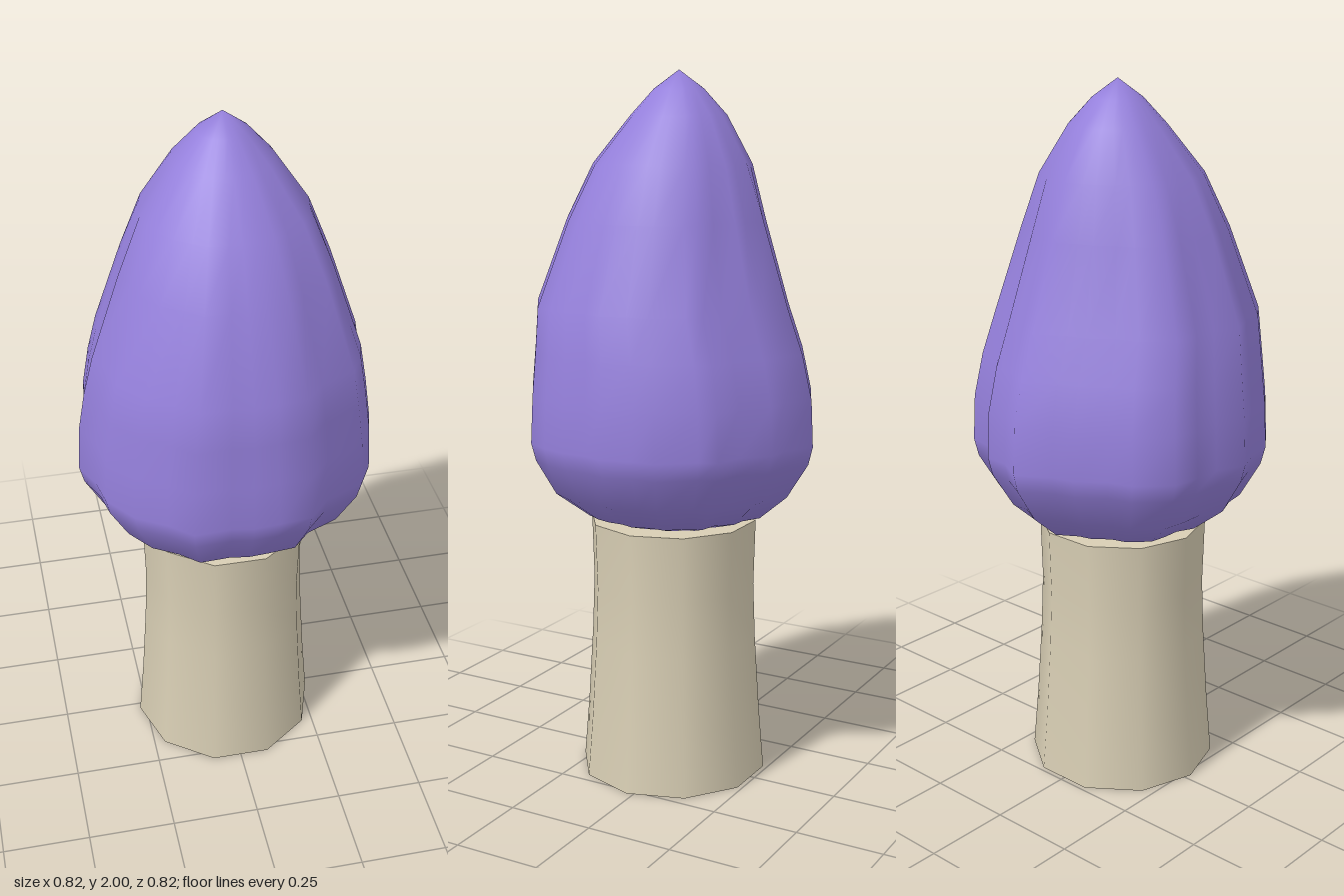
import * as THREE from 'three';

const purple = new THREE.MeshStandardMaterial({ color: 0x9580dc });
purple.name = 'crownPurple';
const beige = new THREE.MeshStandardMaterial({ color: 0xd8ceb4 });
beige.name = 'stemBeige';

// Widest outline of the crown as [x, z], from the back round by the left side
const outline = [
  [0, -.415], [.08, -.37], [.15, -.365], [.21, -.30], [.295, -.28], [.31, -.23], [.385, -.14], [.385, -.07],
  [.41, .01], [.39, .07], [.39, .14], [.37, .21], [.33, .28], [.22, .33], [.16, .395], [.07, .405],
  [0, .41], [-.06, .40], [-.16, .405], [-.22, .35], [-.30, .30], [-.365, .21], [-.38, .13], [-.415, .05],
  [-.38, -.03], [-.38, -.11], [-.37, -.19], [-.29, -.27], [-.22, -.29], [-.15, -.345], [-.09, -.36],
];

// Rings of the crown: [height, scale of outline, shift in z]
const rings = [
  [.755, .42, 0], [.78, .62, 0], [.85, .83, .005], [.95, .97, 0], [1.0, 1, 0], [1.13, .985, 0],
  [1.25, .94, .01], [1.37, .88, .03], [1.6, .69, .025], [1.75, .55, .015], [1.88, .33, 0], [1.95, .17, 0],
];

// Furrowed, tapering crown: the outline swept through the rings, rounder near the tip
function crownGeometry() {
  const n = outline.length;
  const positions = [];
  const indices = [];
  for (const [y, scale, shift] of rings) {
    const round = THREE.MathUtils.smoothstep(y, 1.5, 1.95);
    for (const [x, z] of outline) {
      const r = Math.hypot(x, z);
      const k = scale * THREE.MathUtils.lerp(1, 0.4 / r, round);
      positions.push(x * k, y, z * k + shift);
    }
  }
  for (let j = 0; j < rings.length - 1; j++) {
    for (let i = 0; i < n; i++) {
      const a = j * n + i;
      const b = j * n + (i + 1) % n;
      indices.push(a, a + n, b, b, a + n, b + n);
    }
  }
  // Close the underside and the tip
  const bottom = positions.length / 3;
  positions.push(0, 0.745, 0, 0, 2, 0);
  const last = (rings.length - 1) * n;
  for (let i = 0; i < n; i++) {
    const next = (i + 1) % n;
    indices.push(bottom, i, next);
    indices.push(last + i, bottom + 1, last + next);
  }
  const geometry = new THREE.BufferGeometry();
  geometry.setAttribute('position', new THREE.Float32BufferAttribute(positions, 3));
  geometry.setIndex(indices);
  geometry.computeVertexNormals();
  return geometry;
}

// Flared ten-sided trunk with flat ends
function createStem() {
  const stem = new THREE.Group();
  stem.name = 'stem';
  const profile = [[.27, 0], [.255, .18], [.241, .4], [.235, .56], [.24, .75]];
  const wall = new THREE.Mesh(
    new THREE.LatheGeometry(profile.map(([r, y]) => new THREE.Vector2(r, y)), 10, Math.PI / 2), beige);
  wall.name = 'stemWall';
  stem.add(wall);
  for (const [name, r, y, side] of [['stemBase', .27, 0, 1], ['stemTop', .24, .75, -1]]) {
    const cap = new THREE.Mesh(new THREE.CircleGeometry(r, 10), beige);
    cap.name = name;
    cap.rotation.x = side * Math.PI / 2;
    cap.position.y = y;
    stem.add(cap);
  }
  stem.position.z = 0.02;
  return stem;
}

export function createModel() {
  const model = new THREE.Group();
  model.name = 'coneTree';
  const crown = new THREE.Mesh(crownGeometry(), purple);
  crown.name = 'crown';
  model.add(crown, createStem());
  return model;
}
